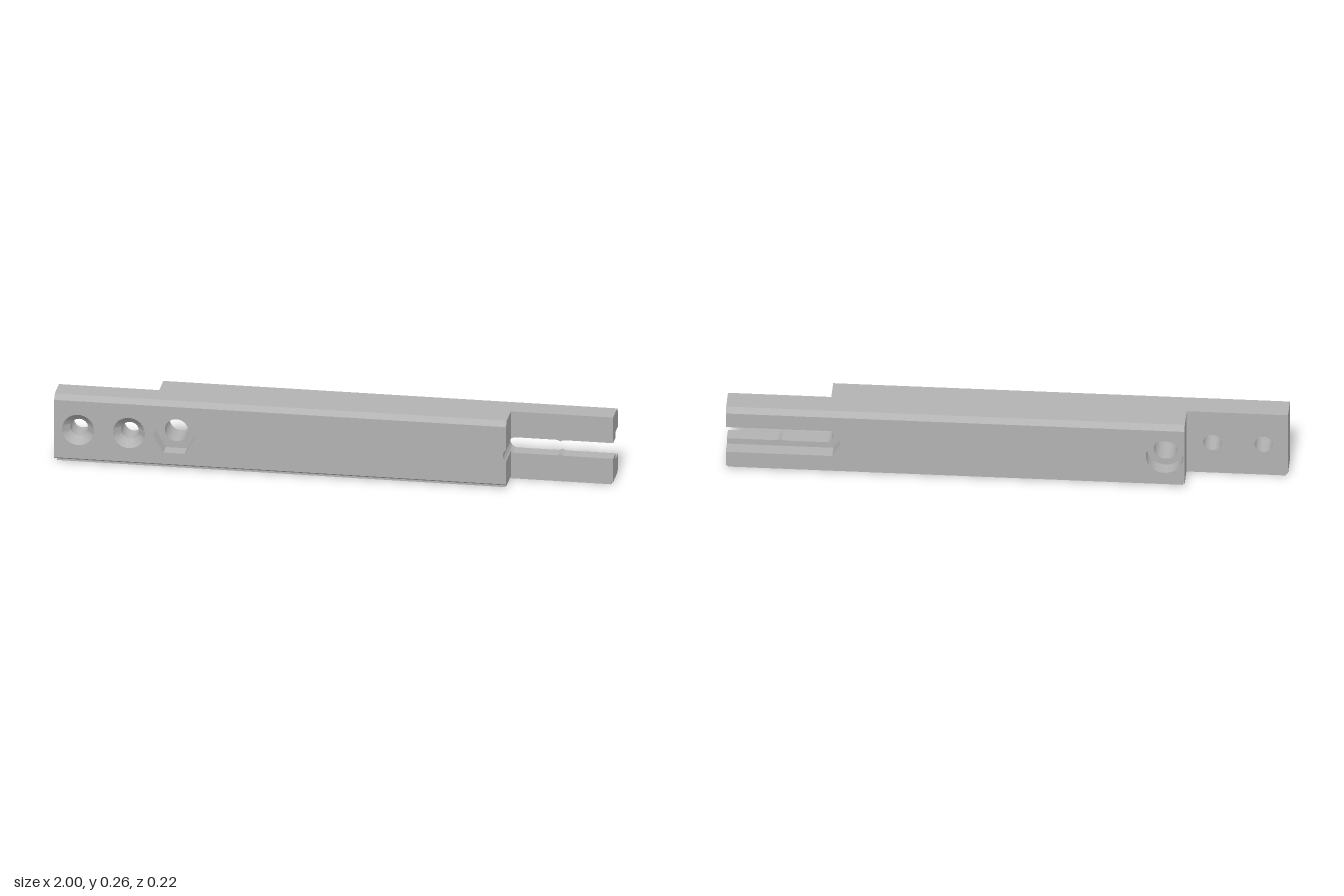
import * as THREE from 'three';
import { toCreasedNormals } from 'three/addons/utils/BufferGeometryUtils.js';

const LO = 0.008, HI = 0.256, CY = 0.128;   // body bottom, top and hole height
const HALF = 0.108, CHAMFER = 0.018;        // half depth and long-edge chamfer
const FRONT_END = 0.631, BACK_END = -0.638; // step positions
const BOLT_X = -0.567, SLOT_X = 0.65, SLOT_R = 0.03;
const PI = Math.PI;

const gray = new THREE.MeshStandardMaterial({ color: 0xb2b2b2, side: THREE.DoubleSide });
gray.name = 'gray';

function circle(x, r) {
  return new THREE.Path().absarc(x, CY, r, 0, PI * 2, false);
}

function hexagon(x, r) {
  const pts = [];
  for (let i = 0; i < 6; i++) {
    pts.push(new THREE.Vector2(x + r * Math.cos(i * PI / 3), CY + r * Math.sin(i * PI / 3)));
  }
  return new THREE.Path(pts);
}

// Front half outline, with the slot's round end nicking its step face
function frontOutline() {
  const a = Math.acos((FRONT_END - SLOT_X) / SLOT_R);
  const s = new THREE.Shape();
  s.moveTo(-1, LO);
  s.lineTo(FRONT_END, LO);
  s.absarc(SLOT_X, CY, SLOT_R, 2 * PI - a, a, true);
  s.lineTo(FRONT_END, HI);
  s.lineTo(-1, HI);
  return s;
}

// Back half outline with an open slot that pinches slightly halfway
function slotOutline() {
  const xa = 0.792, xb = 0.828, a = Math.acos((xb - xa) / 2 / SLOT_R);
  const s = new THREE.Shape();
  s.moveTo(BACK_END, LO);
  s.lineTo(1, LO);
  s.lineTo(1, CY - SLOT_R);
  s.absarc(xb, CY, SLOT_R, 1.5 * PI, PI + a, true);
  s.absarc(xa, CY, SLOT_R, -a, -PI / 2, true);
  s.absarc(SLOT_X, CY, SLOT_R, 1.5 * PI, PI / 2, true);
  s.absarc(xa, CY, SLOT_R, PI / 2, a, true);
  s.absarc(xb, CY, SLOT_R, PI - a, PI / 2, true);
  s.lineTo(1, CY + SLOT_R);
  s.lineTo(1, HI);
  s.lineTo(BACK_END, HI);
  return s;
}

// Back half outline with the wide nut channel, pointed at its inner end
function channelOutline() {
  const r = 0.0606, h = 0.0525;
  const pts = [
    [BACK_END, LO], [1, LO], [1, CY - h], [SLOT_X - r / 2, CY - h], [SLOT_X - r, CY],
    [SLOT_X - r / 2, CY + h], [1, CY + h], [1, HI], [BACK_END, HI],
  ];
  return new THREE.Shape(pts.map(([x, y]) => new THREE.Vector2(x, y)));
}

// One slice of the bar between two depths; the outermost face is drawn in to form chamfers
function slice(name, shape, holes, z0, z1) {
  shape.holes.push(...holes);
  let geo = new THREE.ExtrudeGeometry(shape, { depth: z1 - z0, bevelEnabled: false, curveSegments: 24 });
  geo.translate(0, 0, z0);
  const p = geo.attributes.position;
  for (let i = 0; i < p.count; i++) {
    if (Math.abs(p.getZ(i)) > HALF - 0.001) {
      p.setY(i, THREE.MathUtils.clamp(p.getY(i), CHAMFER, HI - CHAMFER));
    }
  }
  geo.computeVertexNormals();
  geo = toCreasedNormals(geo, 0.4);
  const mesh = new THREE.Mesh(geo, gray);
  mesh.name = name;
  return mesh;
}

// Countersunk lining of a screw hole
function countersink(x, z0) {
  const profile = [[0.058, HALF], [0.032, HALF - 0.028], [0.032, z0]].map(([r, z]) => new THREE.Vector2(r, z));
  const geo = toCreasedNormals(new THREE.LatheGeometry(profile, 40).rotateX(PI / 2), 0.4);
  const mesh = new THREE.Mesh(geo, gray);
  mesh.name = 'countersink';
  mesh.position.set(x, CY, 0);
  return mesh;
}

// Thin inset foot under the bar
function foot(name, x0, x1, z0, z1) {
  const mesh = new THREE.Mesh(new THREE.BoxGeometry(x1 - x0, LO, z1 - z0), gray);
  mesh.name = name;
  mesh.position.set((x0 + x1) / 2, LO / 2, (z0 + z1) / 2);
  return mesh;
}

export function createModel() {
  const group = new THREE.Group();
  group.name = 'slottedJointBar';
  const screws = [-0.913, -0.73];
  const edge = HALF - CHAMFER, floor = 0.054;
  const holes = (r) => screws.map((x) => circle(x, r));

  // Front half: screw holes and hexagonal nut pocket
  group.add(slice('frontCore', frontOutline(), [...holes(0.032), circle(BOLT_X, 0.042)], 0, floor));
  for (const [name, z0, z1] of [['frontLayer', floor, edge], ['frontChamferedFace', edge, HALF]]) {
    group.add(slice(name, frontOutline(), [...holes(0.058), hexagon(BOLT_X, 0.077)], z0, z1));
  }
  screws.forEach((x) => group.add(countersink(x, floor)));

  // Back half: open slot, nut channel and round counterbore
  group.add(slice('backCore', slotOutline(), [circle(BOLT_X, 0.042)], -floor, 0));
  for (const [name, z0, z1] of [['backLayer', -edge, -floor], ['backChamferedFace', -HALF, -edge]]) {
    group.add(slice(name, channelOutline(), [circle(BOLT_X, 0.067)], z0, z1));
  }

  // Inset underside
  group.add(foot('frontFoot', -0.993, FRONT_END - 0.007, 0, 0.088));
  group.add(foot('backFoot', BACK_END + 0.007, 0.993, -0.088, 0));
  return group;
}
